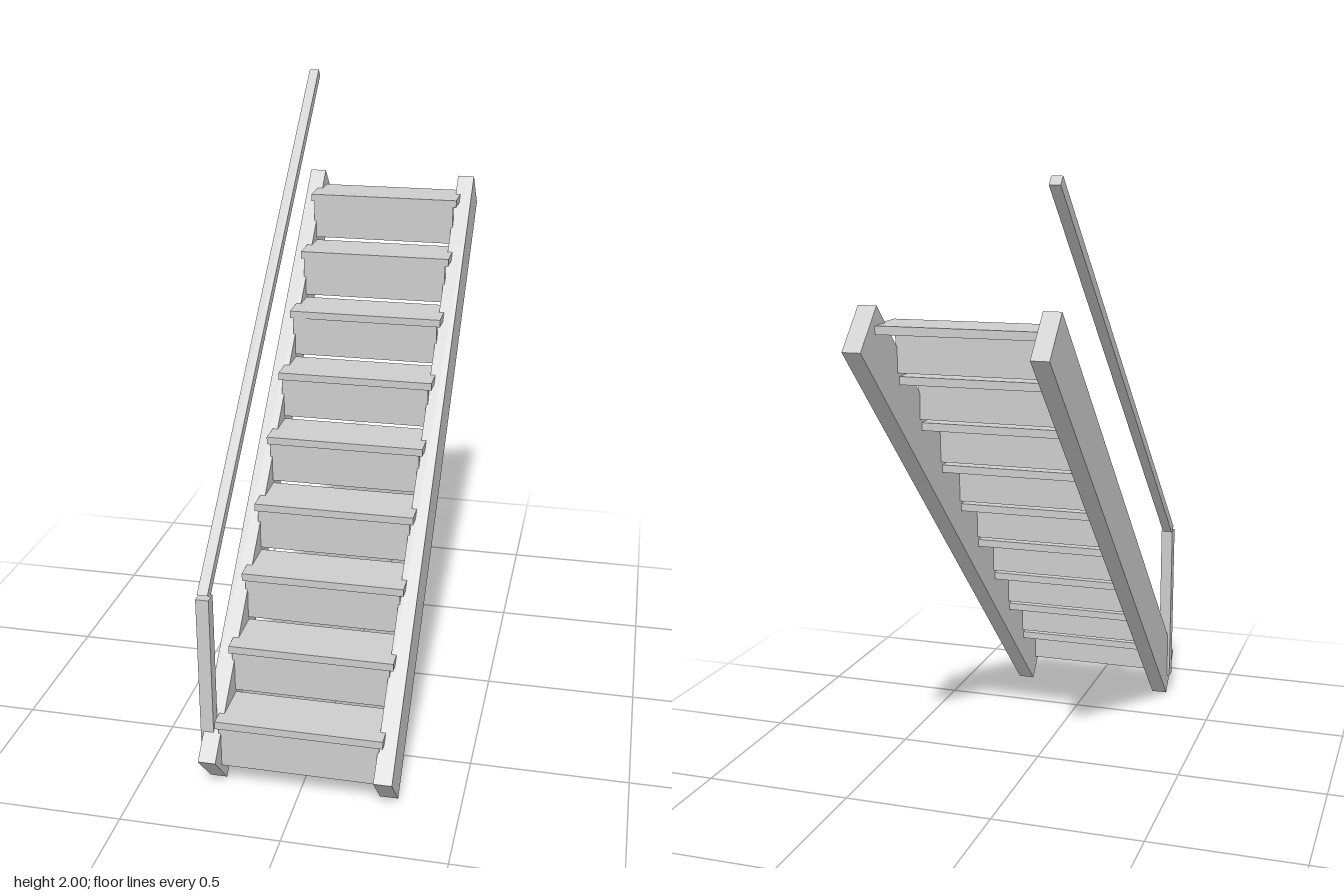
import * as THREE from 'three';

const grey = new THREE.MeshStandardMaterial({ color: 0xcccccc });
grey.name = 'plain grey';

// Box given by its limits on each axis
function block(name, [x0, x1], [y0, y1], [z0, z1]) {
  const mesh = new THREE.Mesh(new THREE.BoxGeometry(x1 - x0, y1 - y0, z1 - z0), grey);
  mesh.position.set((x0 + x1) / 2, (y0 + y1) / 2, (z0 + z1) / 2);
  mesh.name = name;
  return mesh;
}

// Side profile of [z, y] points, extruded across x from x0 to x1
function sidePlate(name, points, x0, x1) {
  const shape = new THREE.Shape(points.map(([z, y]) => new THREE.Vector2(-z, y)));
  const geometry = new THREE.ExtrudeGeometry(shape, { depth: x1 - x0, bevelEnabled: false });
  geometry.rotateY(Math.PI / 2);
  geometry.translate(x0, 0, 0);
  const mesh = new THREE.Mesh(geometry, grey);
  mesh.name = name;
  return mesh;
}

export function createModel() {
  const model = new THREE.Group();
  model.name = 'staircase';

  // Sloping side boards
  const board = [[0.845, 0.127], [0.728, 0], [-0.842, 1.52], [-0.725, 1.64]];
  model.add(sidePlate('leftStringer', board, 0.248, 0.305));
  model.add(sidePlate('rightStringer', board, -0.298, -0.243));

  // Treads let into the side boards, each with a riser under its nose
  for (let i = 0; i < 9; i++) {
    const top = 0.235 + i * 0.1687;
    const front = 0.783 - i * 0.168;
    const step = new THREE.Group();
    step.name = 'step' + (i + 1);
    step.add(block('tread', [-0.26, 0.265], [top - 0.025, top], [front - 0.18, front]));
    step.add(block('riser', [-0.25, 0.253], [top - 0.157, top - 0.025], [front - 0.024, front - 0.005]));
    model.add(step);
  }

  // Post and handrail on one side
  model.add(block('railPost', [-0.307, -0.266], [0.067, 0.65], [0.735, 0.777]));
  const rail = [[0.77, 0.662], [0.74, 0.645], [-0.765, 1.977], [-0.742, 2.0]];
  model.add(sidePlate('handrail', rail, -0.304, -0.271));

  return model;
}
